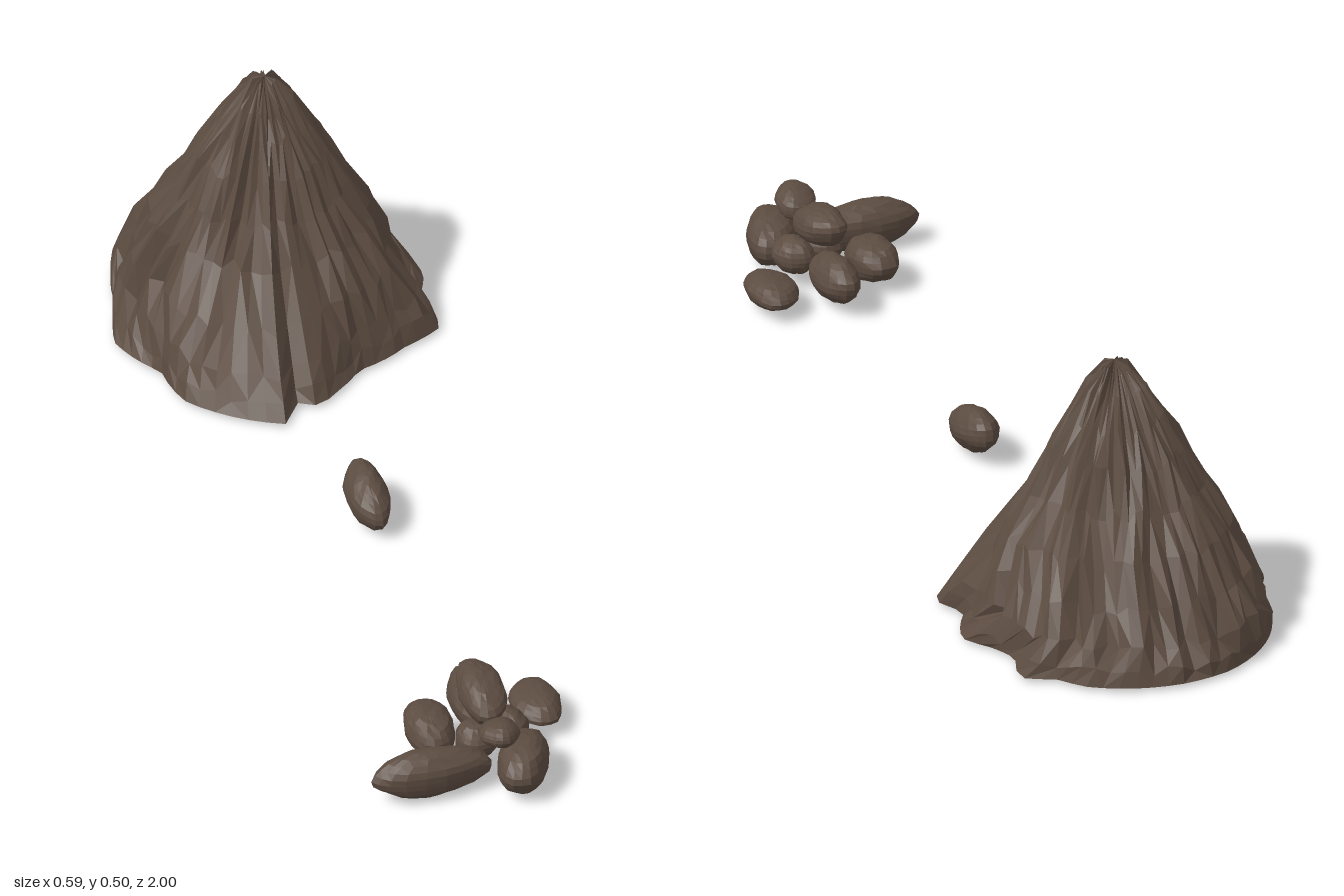
import * as THREE from 'three';

const earth = new THREE.MeshStandardMaterial({ color: 0x5c4c41, flatShading: true });
earth.name = 'dark earth';

function seeded(seed) {
  let s = seed;
  return () => (s = (s * 16807) % 2147483647) / 2147483647;
}

// Piecewise linear lookup in [[key, value], ...] with rising keys
function lookup(table, k) {
  let i = 1;
  while (i < table.length - 1 && table[i][0] < k) i++;
  const [a, b] = [table[i - 1], table[i]];
  return THREE.MathUtils.lerp(a[1], b[1], THREE.MathUtils.clamp((k - a[0]) / (b[0] - a[0]), 0, 1));
}

// Ragged footprint of the mound (x, z), seen from above
const footprint = [
  [0, -1], [0.09, -0.985], [0.16, -0.95], [0.2, -0.9], [0.26, -0.87], [0.235, -0.79], [0.255, -0.74],
  [0.295, -0.68], [0.25, -0.58], [0.285, -0.51], [0.2, -0.46], [0.1, -0.41], [0.05, -0.36],
  [0, -0.32], [-0.03, -0.35], [-0.055, -0.275], [-0.13, -0.31], [-0.225, -0.4], [-0.24, -0.5],
  [-0.295, -0.61], [-0.26, -0.72], [-0.24, -0.83], [-0.17, -0.93], [-0.1, -0.98]];
const apex = { x: -0.005, y: 0.5, z: -0.66 };

// Rings of the cone from the top: height, mean radius, centre z
const rings = [[0.487, 0.024, -0.665], [0.45, 0.053, -0.667], [0.4, 0.083, -0.67], [0.34, 0.118, -0.675],
  [0.27, 0.154, -0.68], [0.2, 0.196, -0.69], [0.13, 0.224, -0.708], [0.07, 0.243, -0.724],
  [0.035, 0.252, -0.732], [0.01, 0.26, -0.74]];

function moundGeometry() {
  const rand = seeded(91);
  const polar = footprint.map(([x, z]) => {
    const a = Math.atan2(z - apex.z, x - apex.x);
    return [a < 0 ? a + Math.PI * 2 : a, Math.hypot(x - apex.x, z - apex.z)];
  }).sort((p, q) => p[0] - q[0]);
  const first = polar[0], last = polar[polar.length - 1];
  polar.unshift([last[0] - Math.PI * 2, last[1]]);
  polar.push([first[0] + Math.PI * 2, first[1]]);

  const n = 72, foot = rings.length - 1;
  const ridges = Array.from({ length: n }, () => (rand() - 0.5) * 0.11);
  const pos = [apex.x, apex.y, apex.z], index = [];
  rings.forEach(([y, radius, z], j) => {
    for (let i = 0; i < n; i++) {
      const a = (i / n) * Math.PI * 2, c = Math.cos(a), s = Math.sin(a);
      const base = lookup(polar, a);
      // The ragged skirt climbs high at the front and stays low elsewhere
      const reach = THREE.MathUtils.lerp(0.06, 0.2, THREE.MathUtils.smoothstep(s, 0.2, 0.7));
      const skirt = Math.max(0, 1 - (y - 0.01) / reach);
      const r = radius * (1 + ridges[i] + (rand() - 0.5) * 0.07);
      const h = j === foot ? y : y + (rand() - 0.5) * 0.022;
      pos.push(
        THREE.MathUtils.lerp(apex.x + c * r, apex.x + c * base, skirt), h,
        Math.max(-1, THREE.MathUtils.lerp(z + s * r, apex.z + s * base, skirt)));
    }
  });
  const at = (j, i) => 1 + j * n + (i % n);
  for (let i = 0; i < n; i++) {
    index.push(0, at(0, i + 1), at(0, i));
    for (let j = 0; j < foot; j++) {
      const a = at(j, i), b = at(j, i + 1), c = at(j + 1, i), d = at(j + 1, i + 1);
      if (rand() < 0.5) index.push(b, d, c, b, c, a);
      else index.push(b, d, a, a, d, c);
    }
  }
  // Flat underside
  const centre = pos.length / 3;
  pos.push(apex.x, 0.01, apex.z);
  for (let i = 0; i < n; i++) index.push(centre, at(foot, i), at(foot, i + 1));

  const g = new THREE.BufferGeometry();
  g.setAttribute('position', new THREE.Float32BufferAttribute(pos, 3));
  g.setIndex(index);
  g.computeVertexNormals();
  return g;
}

// Lumpy pebble of unit radius
function pebbleGeometry(seed) {
  const g = new THREE.SphereGeometry(1, 18, 12);
  const p = g.attributes.position, v = new THREE.Vector3();
  for (let i = 0; i < p.count; i++) {
    v.fromBufferAttribute(p, i);
    const lump = 0.03 * Math.sin(v.x * 5 + seed) + 0.03 * Math.sin(v.y * 6 + seed * 2) * Math.cos(v.z * 4 + seed)
      + 0.02 * Math.sin(v.z * 11 + v.x * 9 + seed);
    v.multiplyScalar(0.99 + lump);
    p.setXYZ(i, v.x, v.y, v.z);
  }
  g.computeVertexNormals();
  return g;
}

// name, centre, half sizes, turn about y, tilt about x
const pebbles = [
  ['lonePebble', [-0.01, 0.055, 0.037], [0.039, 0.041, 0.08], 0, 0.22],
  ['longPebble', [-0.138, 0.05, 0.905], [0.112, 0.046, 0.041], 0.04, 0],
  ['leftBackPebble', [-0.103, 0.05, 0.77], [0.045, 0.04, 0.07], 0, 0.1],
  ['rightBackPebble', [0.106, 0.041, 0.73], [0.046, 0.028, 0.07], 0, 0],
  ['backPebble', [-0.008, 0.055, 0.71], [0.04, 0.043, 0.08], 0, 0.1],
  ['topPebble', [-0.012, 0.123, 0.79], [0.043, 0.037, 0.078], 0, 0.2],
  ['frontPebble', [0.03, 0.052, 0.92], [0.046, 0.047, 0.084], -0.4, 0],
  ['smallTopPebble', [-0.012, 0.117, 0.915], [0.037, 0.025, 0.046], -0.3, -0.25],
  ['innerPebbleRight', [0.03, 0.06, 0.815], [0.036, 0.035, 0.045], 0.3, 0],
  ['innerPebbleLeft', [-0.035, 0.06, 0.84], [0.04, 0.036, 0.04], 0, 0],
];

export function createModel() {
  const model = new THREE.Group();
  const mound = new THREE.Mesh(moundGeometry(), earth);
  mound.name = 'mound';
  model.add(mound);

  pebbles.forEach(([name, centre, size, turn, tilt], i) => {
    const m = new THREE.Mesh(pebbleGeometry(i * 1.7 + 1), earth);
    m.name = name;
    m.position.set(...centre);
    m.scale.set(...size);
    m.rotation.set(tilt, turn, 0, 'YXZ');
    model.add(m);
  });
  return model;
}
